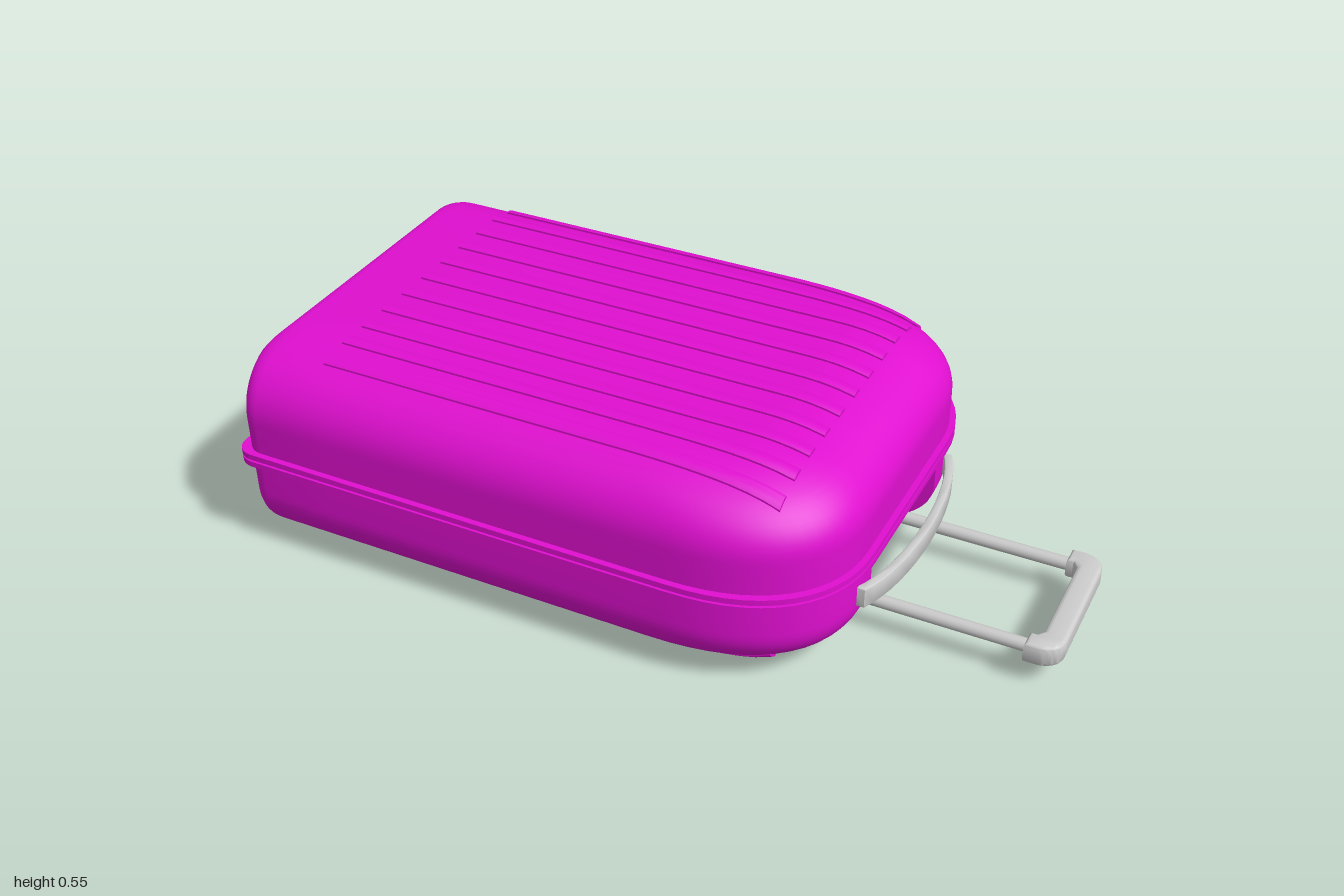
import * as THREE from 'three';
import { toCreasedNormals } from 'three/addons/utils/BufferGeometryUtils.js';

const MID = 0.273, HALF = 0.265, FLAT = 0.24, P = 2.2;

// fraction of inset at progress t along a rounded edge
const bulge = (t, p = P) => (t <= 0 ? 0 : 1 - Math.pow(Math.max(0, 1 - Math.pow(Math.min(t, 1), p)), 1 / p));

// plan extents of the case at distance d above or below the seam
function extents(d) {
  const k = bulge((d - 0.1) / 0.165);
  return { L: -0.98 + 0.04 * bulge((d - 0.225) / 0.04, 2), R: 0.545 - 0.3 * k, Z: 0.54 - 0.22 * k };
}

// plan outline: tight corners at the base end, broad soft ones at the handle end
function outline({ L, R, Z }, off = 0) {
  L -= off * 1.33; R += off; Z += off;
  const pts = [], rx = 0.38, r = 0.05, N = 14;
  for (const z of [0, 0.1, 0.21, 0.216]) pts.push([R, z]);
  for (let i = 0; i <= N; i++) {
    const a = (i / N) * Math.PI / 2, e = 2 / 2.3;
    pts.push([R - rx + rx * Math.pow(Math.max(0, Math.cos(a)), e), FLAT + (Z - FLAT) * Math.pow(Math.sin(a), e)]);
  }
  for (let i = 1; i <= 5; i++) pts.push([R - rx + (L + r - R + rx) * i / 6, Z]);
  for (let i = 0; i <= 6; i++) {
    const a = Math.PI / 2 * (1 + i / 6);
    pts.push([L + r + r * Math.cos(a), Z - r + r * Math.sin(a)]);
  }
  const back = pts.slice(1).reverse().map(([x, z]) => [x, -z]);
  return [...pts, ...back];
}

// skin between rings of [x, y, z], listed from bottom to top, with both ends capped
function loft(rings) {
  const pos = [], idx = [], n = rings[0].length, m = rings.length;
  rings.forEach(r => r.forEach(p => pos.push(...p)));
  for (let i = 0; i < m - 1; i++) for (let j = 0; j < n; j++) {
    const a = i * n + j, b = i * n + (j + 1) % n, c = a + n, d = b + n;
    idx.push(a, c, b, b, c, d);
  }
  pos.push(-0.3, rings[0][0][1], 0, -0.3, rings[m - 1][0][1], 0);
  for (let j = 0; j < n; j++) {
    const k = (j + 1) % n, t = (m - 1) * n;
    idx.push(m * n, j, k, m * n + 1, t + k, t + j);
  }
  const g = new THREE.BufferGeometry();
  g.setAttribute('position', new THREE.Float32BufferAttribute(pos, 3));
  g.setIndex(idx);
  return toCreasedNormals(g, 0.55);
}

// half of the case; the lower one has a pocket for the pull handle
function shell(sign) {
  const levels = [0, 0.05, 0.056, 0.1, 0.212, 0.22];
  for (let i = 1; i <= 18; i++) levels.push(0.1 + 0.165 * Math.sin(i / 18 * Math.PI / 2));
  levels.sort((a, b) => sign * (a - b));
  return loft(levels.map(d => outline(extents(d)).map(([x, z]) => {
    const pocket = sign < 0 && x > 0 && Math.abs(z) < 0.212 && d > 0.053 && d < 0.215;
    return [pocket ? Math.min(x, 0.44) : x, MID + sign * d, z];
  })));
}

// height of the case surface above the seam at a plan position
function height(x, z) {
  let lo = 0, hi = HALF;
  for (let i = 0; i < 24; i++) {
    const d = (lo + hi) / 2, { R, Z } = extents(d);
    const u = Math.max(0, (x - R + 0.38) / 0.38), v = Math.max(0, (Math.abs(z) - FLAT) / (Z - FLAT));
    if (Math.pow(u, 2.3) + Math.pow(v, 2.3) <= 1) lo = d; else hi = d;
  }
  return lo;
}

// raised rib that follows the curved surface
function rib(zc) {
  const g = new THREE.BoxGeometry(1.19, 2, 0.034, 30, 1, 4);
  g.translate(-0.195, 0, zc);
  const p = g.attributes.position;
  for (let i = 0; i < p.count; i++) {
    const x = p.getX(i), z = p.getZ(i), edge = Math.abs(z - zc) > 0.016 ? 0.003 : 0;
    p.setY(i, height(x, z) + (p.getY(i) > 0 ? 0.008 - edge : -0.012));
  }
  return toCreasedNormals(g, 0.6);
}

// plan shape raised to a given height with softened edges, centred on y
function slab(shape, h, y, bevel) {
  const g = new THREE.ExtrudeGeometry(shape, {
    depth: h - 2 * bevel, bevelSize: bevel, bevelThickness: bevel, bevelOffset: -bevel, bevelSegments: 4, curveSegments: 16,
  });
  g.translate(0, 0, -h / 2 + bevel);
  g.rotateX(Math.PI / 2);
  g.translate(0, y, 0);
  return toCreasedNormals(g, 0.6);
}

export function createModel() {
  const root = new THREE.Group();
  root.name = 'suitcase';
  const pink = new THREE.MeshStandardMaterial({ color: 0xe00fd0 });
  const grey = new THREE.MeshStandardMaterial({ color: 0xcccccc });
  const add = (name, geo, mat, parent = root) => {
    const mesh = new THREE.Mesh(geo, mat);
    mesh.name = name;
    parent.add(mesh);
    return mesh;
  };

  // two halves of the case
  add('upperShell', shell(1), pink);
  add('lowerShell', shell(-1), pink);

  // double rim around the seam, with a groove between
  const rim = [[-0.018, 0], [-0.018, 0.015], [-0.003, 0.015], [-0.003, 0.007], [0.003, 0.007], [0.003, 0.015], [0.018, 0.015], [0.018, 0]];
  add('seamRim', loft(rim.map(([dy, off]) => outline(extents(0), off).map(([x, z]) => [x, MID + dy, z]))), pink);

  // ribs on the top face and, turned over, on the bottom face
  for (const side of ['top', 'bottom']) {
    const ribs = new THREE.Group();
    ribs.name = side + 'Ribs';
    ribs.position.y = MID;
    if (side === 'bottom') ribs.rotation.x = Math.PI;
    for (let k = -5; k <= 5; k++) add('rib', rib(-0.015 + 0.09 * k - 0.0002 * k ** 3), pink, ribs);
    root.add(ribs);
  }

  // bowed carry handle
  const bow = new THREE.Shape();
  bow.moveTo(0.535, -0.295);
  bow.lineTo(0.56, -0.295);
  bow.bezierCurveTo(0.632, -0.17, 0.632, 0.17, 0.56, 0.295);
  bow.lineTo(0.535, 0.295);
  bow.bezierCurveTo(0.612, 0.17, 0.612, -0.17, 0.535, -0.295);
  add('carryHandle', slab(bow, 0.055, 0.191, 0.004), grey);

  // telescopic pull handle: two rods and a U-shaped grip
  for (const s of [-1, 1]) {
    const rod = add('pullRod', new THREE.CylinderGeometry(0.0165, 0.0165, 0.55, 20), grey);
    rod.rotation.z = Math.PI / 2;
    rod.position.set(0.665, 0.086, s * 0.165);
  }
  const u = new THREE.Shape();
  u.moveTo(0.913, -0.195);
  u.lineTo(0.95, -0.195);
  u.quadraticCurveTo(1, -0.185, 1, -0.14);
  u.lineTo(1, 0.14);
  u.quadraticCurveTo(1, 0.185, 0.95, 0.195);
  u.lineTo(0.913, 0.195);
  u.lineTo(0.913, 0.145);
  u.lineTo(0.93, 0.145);
  u.lineTo(0.942, 0.13);
  u.lineTo(0.942, -0.13);
  u.lineTo(0.93, -0.145);
  u.lineTo(0.913, -0.145);
  u.closePath();
  add('pullGrip', slab(u, 0.058, 0.086, 0.012), grey);
  return root;
}
